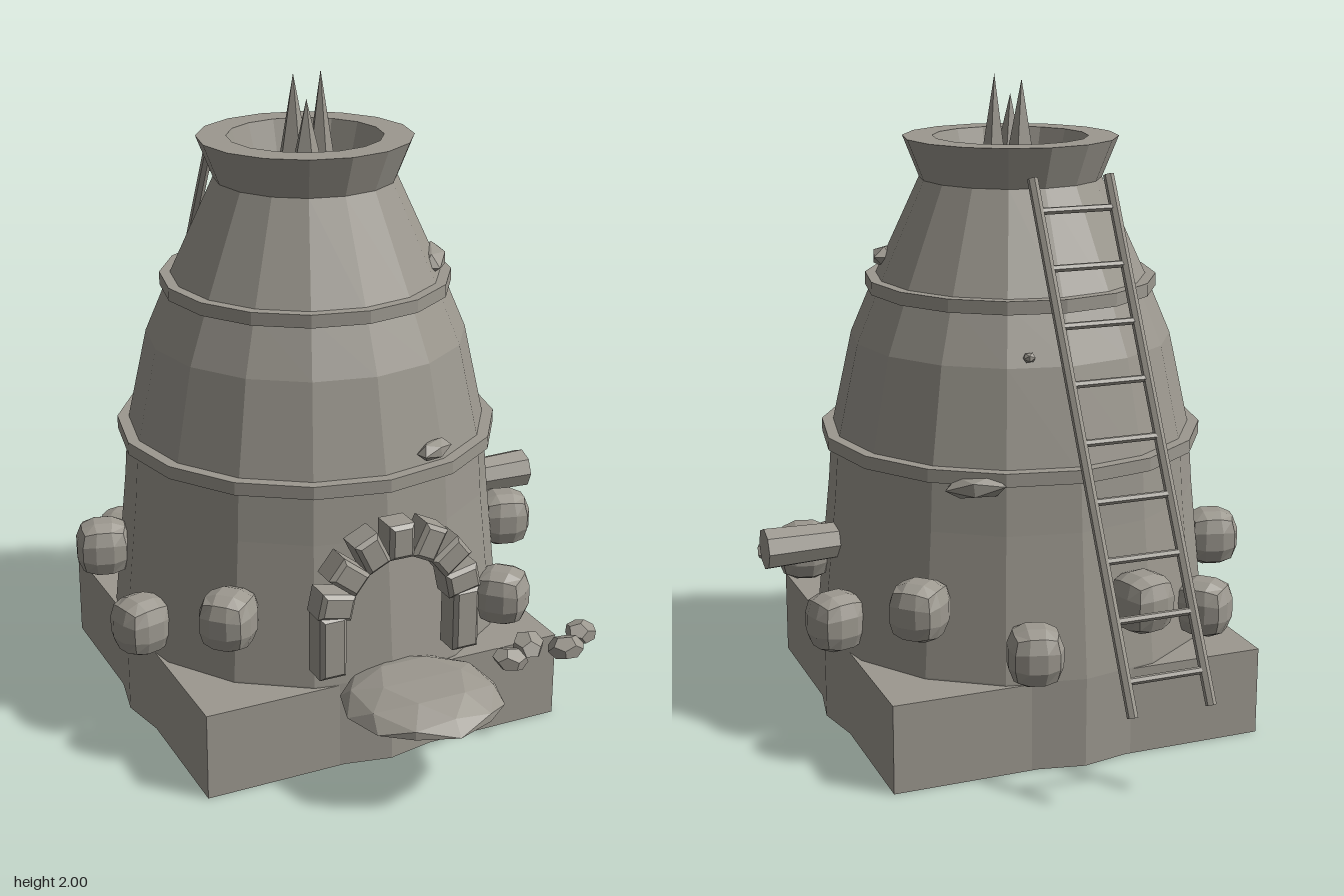
import * as THREE from 'three';

const CX = -0.035, CZ = -0.02; // tower axis

export function createModel() {
  const model = new THREE.Group();
  model.name = 'stoneFurnace';
  const stone = new THREE.MeshStandardMaterial({ color: 0x9c988f, flatShading: true });
  stone.name = 'greyStone';

  const add = (name, geometry, x = 0, y = 0, z = 0, parent = model) => {
    const mesh = new THREE.Mesh(geometry, stone);
    mesh.name = name;
    mesh.position.set(x, y, z);
    parent.add(mesh);
    return mesh;
  };
  const lathe = pts => new THREE.LatheGeometry(pts.map(p => new THREE.Vector2(...p)), 16);

  // Box with chamfered edges, centred on the origin
  const chamferBox = (w, h, d, b = 0.012) => {
    const s = new THREE.Shape();
    const x = w / 2 - b, y = h / 2 - b;
    s.moveTo(-x, -y).lineTo(x, -y).lineTo(x, y).lineTo(-x, y);
    return new THREE.ExtrudeGeometry(s, {
      depth: d - 2 * b, bevelEnabled: true, bevelThickness: b, bevelSize: b, bevelSegments: 1,
    }).translate(0, 0, b - d / 2);
  };

  // Cylinder between two points
  const bar = (name, a, b, r0, r1, sides, parent) => {
    const dir = b.clone().sub(a);
    const m = add(name, new THREE.CylinderGeometry(r1, r0, dir.length(), sides), 0, 0, 0, parent);
    m.position.copy(a).add(b).multiplyScalar(0.5);
    m.quaternion.setFromUnitVectors(new THREE.Vector3(0, 1, 0), dir.normalize());
    return m;
  };

  // Square plinth
  add('plinth', new THREE.BoxGeometry(1.18, 0.275, 1.18), CX, 0.1375, CZ);

  // Tower wall, flared rim and hollow mouth in one profile
  add('tower', lathe([
    [0, 0.002], [0.622, 0.002], [0.622, 0.28], [0.577, 0.72], [0.565, 0.89], [0.497, 1.2],
    [0.425, 1.37], [0.28, 1.685], [0.33, 1.81], [0.238, 1.81], [0.205, 1.69], [0, 1.69],
  ]), CX, 0, CZ);

  // Hoops
  for (const [r, y] of [[0.595, 0.895], [0.45, 1.367]]) {
    add('hoop', lathe([
      [r - 0.06, y - 0.02], [r, y - 0.02], [r, y + 0.02], [r - 0.06, y + 0.02],
    ]), CX, 0, CZ);
  }

  // Flame spikes in the mouth: x, z, tip height, radius
  for (const [x, z, top, r] of [
    [-0.047, -0.08, 1.985, 0.058], [0.023, -0.035, 1.998, 0.05], [-0.057, 0.037, 1.93, 0.06],
  ]) {
    const h = top - 1.68;
    add('flameSpike', new THREE.ConeGeometry(r, h, 5), x, 1.68 + h / 2, z);
  }

  // Arched doorway
  const arch = new THREE.Group();
  arch.name = 'doorArch';
  arch.position.set(CX, 0, 0.607);
  model.add(arch);
  for (const side of [-1, 1]) {
    add('archPillar', chamferBox(0.085, 0.2, 0.1), side * 0.22, 0.452, 0, arch);
  }
  for (let i = -3; i <= 3; i++) {
    const a = i * THREE.MathUtils.degToRad(26);
    add('archStone', chamferBox(0.08, 0.108, 0.1),
      Math.sin(a) * 0.212, 0.535 + Math.cos(a) * 0.212, 0, arch).rotation.z = -a;
  }

  // Boulders ringed around the foot, left out at the doorway
  const boulder = new THREE.BoxGeometry(1, 1, 1, 3, 3, 3);
  const p = boulder.attributes.position, v = new THREE.Vector3();
  for (let i = 0; i < p.count; i++) {
    v.fromBufferAttribute(p, i);
    v.lerp(v.clone().normalize().multiplyScalar(0.57), 0.8);
    p.setXYZ(i, v.x, v.y, v.z);
  }
  for (let i = 0; i < 10; i++) {
    const a = THREE.MathUtils.degToRad(45 - i * 30);
    const m = add('boulder', boulder, CX + Math.cos(a) * 0.655, i % 2 ? 0.505 : 0.388, CZ + Math.sin(a) * 0.655);
    m.rotation.y = -a;
    m.scale.set(0.165, 0.172, 0.158);
  }

  // Side pipe
  bar('sidePipe', new THREE.Vector3(0.45, 0.585, CZ), new THREE.Vector3(0.77, 0.582, CZ), 0.055, 0.065, 8);

  // Slag mound spilling from the door, flat underneath
  const mound = new THREE.IcosahedronGeometry(1, 1);
  const mp = mound.attributes.position;
  for (let i = 0; i < mp.count; i++) mp.setY(i, THREE.MathUtils.clamp(mp.getY(i), 0, 0.85));
  add('slagMound', mound, -0.012, 0.272, 0.745).scale.set(0.245, 0.085, 0.238);

  // Rubble beside the door
  [[0.295, 0.73], [0.39, 0.675], [0.485, 0.738], [0.58, 0.672]].forEach(([x, z], i) => {
    const m = add('rubble', new THREE.DodecahedronGeometry(1, 0), x, 0.33, z);
    m.scale.set(0.058, 0.036, 0.05);
    m.rotation.set(0.1, i * 1.3, 0.2 * (i % 2 ? 1 : -1));
  });

  // Loose stones jutting from the wall: angle, distance, height, half sizes
  for (const [deg, r, y, w, h, d] of [
    [27, 0.385, 1.43, 0.1, 0.038, 0.05],
    [72, 0.56, 0.957, 0.065, 0.03, 0.035],
    [-59, 0.57, 0.868, 0.105, 0.038, 0.05],
    [-75, 0.485, 1.23, 0.02, 0.016, 0.02],
  ]) {
    const a = THREE.MathUtils.degToRad(deg);
    const m = add('wallStone', new THREE.IcosahedronGeometry(1, 0),
      CX + Math.cos(a) * r, y, CZ + Math.sin(a) * r);
    m.rotation.set(0, Math.PI / 2 - a, 0.12);
    m.scale.set(w, h, d);
  }

  // Ladder leaning at the back
  const ladder = new THREE.Group();
  ladder.name = 'ladder';
  model.add(ladder);
  const rails = [[-0.275, -0.202], [-0.03, 0.037]].map(([x0, x1]) => [
    new THREE.Vector3(x0, 0.295, -0.968), new THREE.Vector3(x1, 1.728, -0.375),
  ]);
  for (const [a, b] of rails) bar('ladderRail', a, b, 0.016, 0.016, 6, ladder);
  for (let i = 0; i < 9; i++) {
    const t = 0.065 + i * 0.109;
    const [l, r] = rails.map(([a, b]) => a.clone().lerp(b, t));
    bar('ladderRung', l, r, 0.011, 0.011, 6, ladder);
  }

  return model;
}
